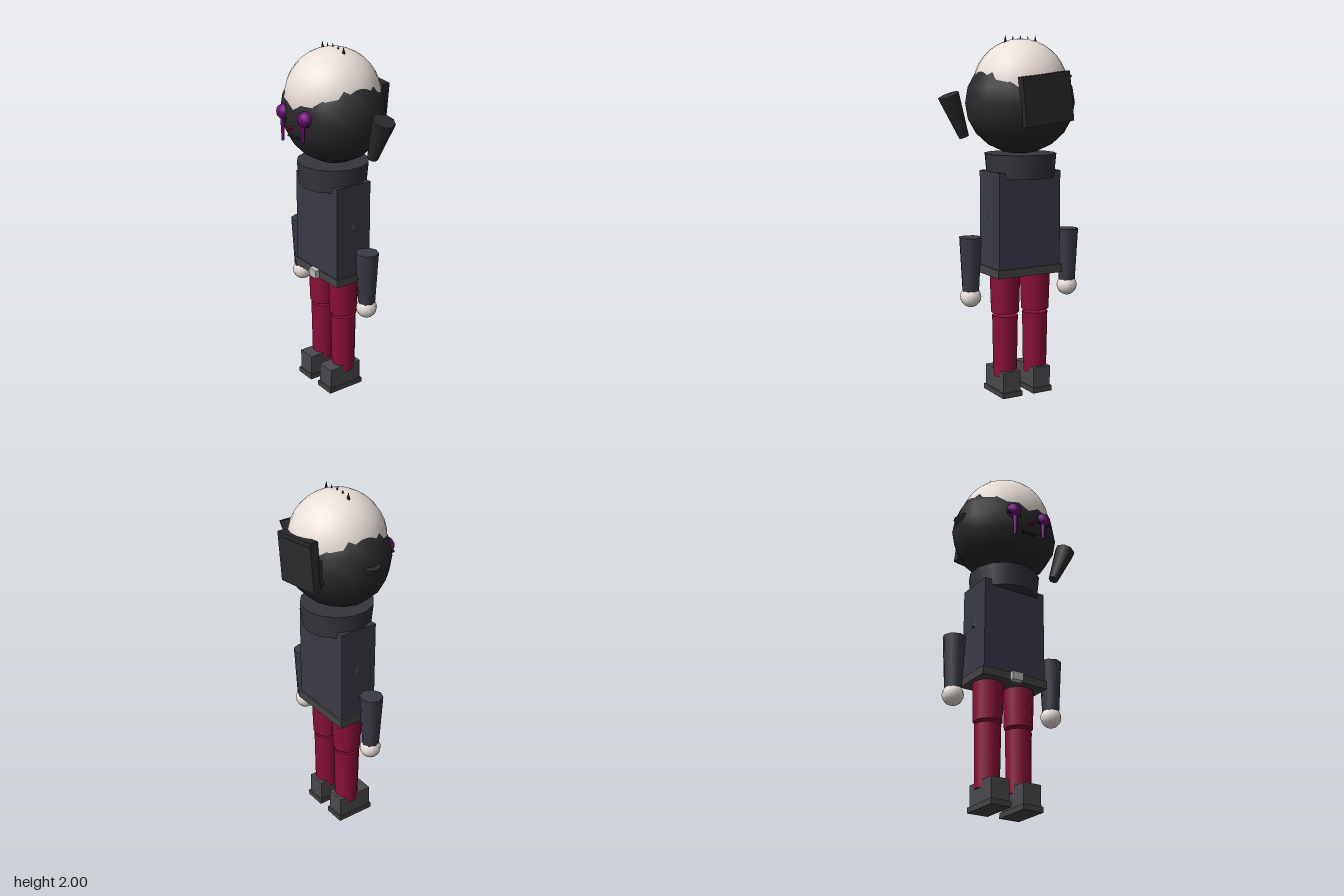
import * as THREE from 'three';

const CX = -0.064, CZ = -0.014; // body axis

const mats = {};
const mat = (color) => (mats[color] ??= new THREE.MeshStandardMaterial({ color }));
const SKIN = 0xeae0da, HAIR = 0x2a2a2d, CLOTH = 0x3a3a46, COLLAR = 0x35353c, RED = 0x8a0f38,
  BOOT = 0x4a4a4e, SOLE = 0x444444, BELT = 0x444444, PURPLE = 0x6a0a72, DARK = 0x1e1e20;

export function createModel() {
  const model = new THREE.Group();

  const add = (name, geometry, color, x, y, z, tilt = 0) => {
    const mesh = new THREE.Mesh(geometry, mat(color));
    mesh.name = name;
    mesh.position.set(x, y, z);
    mesh.rotation.z = tilt;
    model.add(mesh);
    return mesh;
  };
  const box = (name, color, w, h, d, x, y, z, tilt) =>
    add(name, new THREE.BoxGeometry(w, h, d), color, x, y, z, tilt);
  // tapered cylinder between heights y0 and y1
  const taper = (name, color, rTop, rBottom, y0, y1, x, sides, tilt) =>
    add(name, new THREE.CylinderGeometry(rTop, rBottom, y1 - y0, sides), color, x, (y0 + y1) / 2, CZ, tilt);

  // head and hair: two overlapping spheres, the scalp showing above
  add('scalp', new THREE.SphereGeometry(0.26, 24, 18), SKIN, CX, 1.72, CZ);
  add('hair', new THREE.SphereGeometry(1, 14, 10), HAIR, CX, 1.635, CZ).scale.set(0.31, 0.28, 0.27);

  // pigtails, the right one mostly sunk into the hair
  taper('leftPigtail', HAIR, 0.061, 0.029, 1.451, 1.689, 0.328, 8, -0.388);
  taper('rightPigtail', HAIR, 0.061, 0.029, 1.451, 1.689, -0.293, 8, 0.388);

  // row of small spikes on the crown
  for (let i = -2; i <= 2; i++) {
    const big = Math.abs(i) === 2;
    const dx = i * 0.047;
    const top = 1.72 + Math.sqrt(0.26 ** 2 - dx ** 2);
    const h = big ? 0.04 : 0.025;
    add('spike', new THREE.ConeGeometry(big ? 0.01 : 0.006, h, 5), DARK, CX + dx, top + (big ? 0.014 : 0.0075), CZ);
  }

  // tilted board on the back of the head
  box('backBoard', HAIR, 0.292, 0.265, 0.046, -0.08, 1.66, -0.261, -0.115);
  box('boardStrip', 0x24302a, 0.26, 0.012, 0.004, -0.09, 1.765, -0.285, -0.115);
  box('boardTab', HAIR, 0.07, 0.13, 0.04, -0.2, 1.64, -0.226, -0.115);

  // face
  for (const s of [-1, 1]) {
    const x = CX + s * 0.098;
    add('eye', new THREE.SphereGeometry(0.043, 8, 8), PURPLE, x, 1.65, 0.234);
    const len = s < 0 ? 0.13 : 0.1;
    add('tearDrip', new THREE.CylinderGeometry(0.014, 0.008, len, 6), PURPLE, x + s * -0.004, 1.625 - len / 2, 0.247);
    box('eyeShadow', DARK, 0.09, 0.012, 0.01, x, 1.625, 0.246);
  }
  const nose = add('noseRing', new THREE.TorusGeometry(0.018, 0.005, 5, 6), 0xb01040, CX, 1.585, 0.264);
  nose.rotation.x = Math.PI / 2;
  box('mouth', DARK, 0.086, 0.008, 0.02, CX, 1.535, 0.24);

  // torso
  taper('collar', COLLAR, 0.2, 0.188, 1.23, 1.36, CX, 14);
  box('torso', CLOTH, 0.385, 0.53, 0.224, CX, 1.0, -0.012);
  box('belt', BELT, 0.406, 0.046, 0.24, CX, 0.714, -0.013);
  box('buckle', 0xb8b8b8, 0.066, 0.046, 0.03, CX, 0.714, 0.117);

  // limbs
  for (const s of [-1, 1]) {
    const armX = CX + s * 0.312, legX = CX + s * 0.097;
    taper('upperArm', CLOTH, 0.045, 0.042, 1.0, 1.22, CX + s * 0.143, 8, s * 0.15);
    taper('forearm', CLOTH, 0.064, 0.047, 0.61, 0.915, armX, 8);
    add('hand', new THREE.SphereGeometry(0.058, 12, 10), SKIN, armX, 0.585, CZ);

    taper('thigh', RED, 0.085, 0.078, 0.475, 0.69, legX, 12);
    taper('shin', RED, 0.072, 0.066, 0.11, 0.458, legX, 12);
    box('boot', BOOT, 0.108, 0.116, 0.208, legX, 0.088, 0.01);
    box('sole', SOLE, 0.122, 0.03, 0.226, legX, 0.015, 0.01);
  }

  return model;
}
